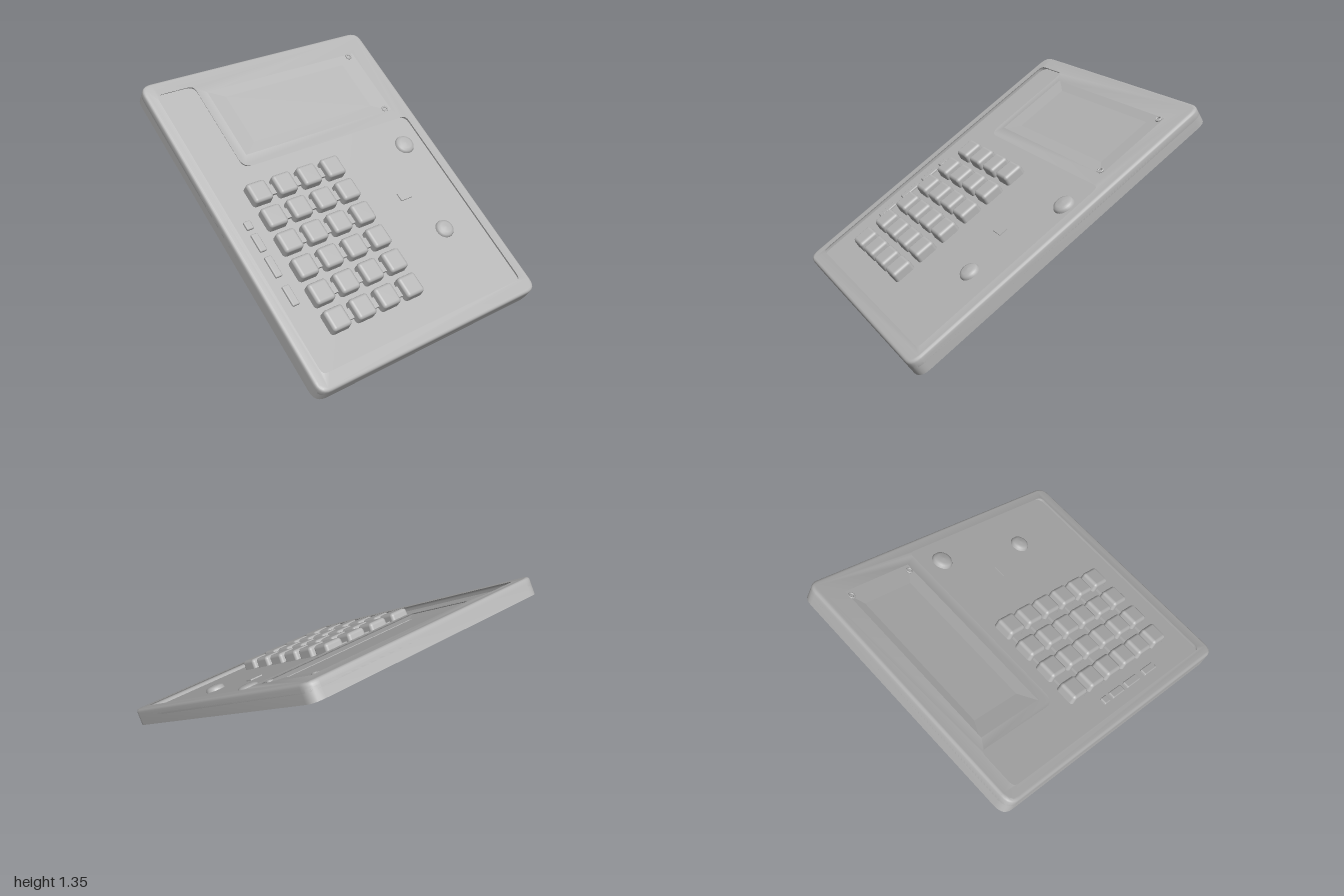
import * as THREE from 'three';
import { toCreasedNormals } from 'three/addons/utils/BufferGeometryUtils.js';
import { RoundedBoxGeometry } from 'three/addons/geometries/RoundedBoxGeometry.js';

const TILT = Math.atan2(1.255, 1.93);
const RIM = 0.115, FLOOR = 0.082, SCREEN = 0.1;

// Closed outline through [x, z] points with rounded corners
function roundedPath(points, r, PathClass = THREE.Shape) {
  const path = new PathClass();
  const pts = points.map(([x, z]) => new THREE.Vector2(x, -z));
  pts.forEach((p, i) => {
    const prev = pts[(i + pts.length - 1) % pts.length];
    const next = pts[(i + 1) % pts.length];
    const a = p.clone().add(prev.clone().sub(p).setLength(r));
    const b = p.clone().add(next.clone().sub(p).setLength(r));
    if (i === 0) path.moveTo(a.x, a.y); else path.lineTo(a.x, a.y);
    path.quadraticCurveTo(p.x, p.y, b.x, b.y);
  });
  path.closePath();
  return path;
}

const rect = (x0, x1, z0, z1) => [[x0, z0], [x1, z0], [x1, z1], [x0, z1]];

// Extrude an outline upwards, from height y0
function slab(shape, y0, depth, bevel = 0) {
  const geo = new THREE.ExtrudeGeometry(shape, {
    depth, curveSegments: 6, bevelEnabled: bevel > 0, bevelSize: bevel,
    bevelThickness: bevel, bevelOffset: -bevel, bevelSegments: 3,
  });
  geo.rotateX(-Math.PI / 2).translate(0, y0, 0);
  return toCreasedNormals(geo, 0.7);
}

// Sloping frame between an outer and an inner rectangle
function slopedFrame(outer, yOuter, inner, yInner) {
  const pos = [], index = [];
  outer.forEach(([x, z]) => pos.push(x, yOuter, z));
  inner.forEach(([x, z]) => pos.push(x, yInner, z));
  for (let i = 0; i < 4; i++) {
    const j = (i + 1) % 4;
    index.push(i, 4 + i, j, j, 4 + i, 4 + j);
  }
  const geo = new THREE.BufferGeometry();
  geo.setAttribute('position', new THREE.Float32BufferAttribute(pos, 3));
  geo.setIndex(index);
  return toCreasedNormals(geo, 0.1);
}

export function createModel() {
  const model = new THREE.Group();
  model.name = 'tiltedCalculator';
  const grey = new THREE.MeshStandardMaterial({ color: 0xb4b4b4 });
  grey.name = 'casing grey';
  grey.side = THREE.DoubleSide;

  const device = new THREE.Group();
  device.name = 'device';
  device.position.set(-0.033, 0.637, 0);
  device.rotation.z = -TILT;
  model.add(device);

  const add = (name, geo, x = 0, y = 0, z = 0, parent = device) => {
    const mesh = new THREE.Mesh(geo, grey);
    mesh.name = name;
    mesh.position.set(x, y, z);
    parent.add(mesh);
    return mesh;
  };

  // Casing base, whose top is the keyboard floor
  const outline = rect(-1.154, 1.154, -0.895, 0.895);
  add('base', slab(roundedPath(outline, 0.08), 0, FLOOR));

  // Raised rim and display housing around the L-shaped keyboard well
  const bezelOuter = rect(-1.0, -0.43, -0.76, 0.5);
  const screenRect = rect(-0.92, -0.53, -0.62, 0.37);
  const deck = roundedPath(outline, 0.08);
  deck.holes.push(
    roundedPath([[-0.38, -0.835], [1.07, -0.835], [1.07, 0.84], [-1.07, 0.84], [-1.07, 0.53], [-0.38, 0.53]], 0.06, THREE.Path),
    roundedPath(bezelOuter, 0.02, THREE.Path),
  );
  add('rimAndHousing', slab(deck, RIM - 0.054, 0.036, 0.018));

  // Display with its sloping bezel
  add('displayBezel', slopedFrame(bezelOuter, RIM - 0.006, screenRect, SCREEN));
  add('displayScreen', new THREE.BoxGeometry(0.39, 0.02, 0.99), -0.725, SCREEN - 0.014, -0.125);
  for (const x of [-0.965, -0.47]) {
    const screw = add('displayScrew', new THREE.TorusGeometry(0.018, 0.006, 8, 20), x, RIM - 0.003, -0.7);
    screw.rotation.x = -Math.PI / 2;
  }

  // Keyboard: six columns of four rounded keys, joined by low webs
  const keyboard = new THREE.Group();
  keyboard.name = 'keyboard';
  device.add(keyboard);
  const keyGeo = new RoundedBoxGeometry(0.148, 0.09, 0.142, 4, 0.022);
  const p = keyGeo.attributes.position;
  for (let i = 0; i < p.count; i++) {
    const taper = 1 - 0.8 * Math.max(0, p.getY(i));
    p.setXYZ(i, p.getX(i) * taper, p.getY(i), p.getZ(i) * taper);
  }
  const webGeo = new THREE.BoxGeometry(0.07, 0.04, 0.58);
  for (let col = 0; col < 6; col++) {
    const x = -0.165 + col * 0.19;
    add('keyWeb', webGeo, x, 0.08, 0.26, keyboard);
    for (let row = 0; row < 4; row++) {
      add('key', keyGeo, x, 0.103, -0.03 + row * 0.193, keyboard);
    }
  }

  // Small side switches along the near edge
  [[0.01, 0.06], [0.14, 0.13], [0.32, 0.15], [0.53, 0.14]].forEach(([x, w]) =>
    add('sideSwitch', new RoundedBoxGeometry(w, 0.03, 0.05, 2, 0.008), x, 0.083, 0.72));

  // Round knobs and a small square button on the far side
  const knob = (x, z, r) => {
    const profile = [[0, 0.115], [r * 0.6, 0.112], [r * 0.88, 0.104], [r, 0.088], [r, 0.07]]
      .map(([a, b]) => new THREE.Vector2(a, b)).reverse();
    add('knob', new THREE.LatheGeometry(profile, 28), x, 0, z);
  };
  knob(-0.165, -0.68, 0.07);
  knob(0.517, -0.55, 0.065);
  add('squareButton', new THREE.BoxGeometry(0.06, 0.02, 0.09), 0.19, 0.08, -0.425);

  return model;
}
